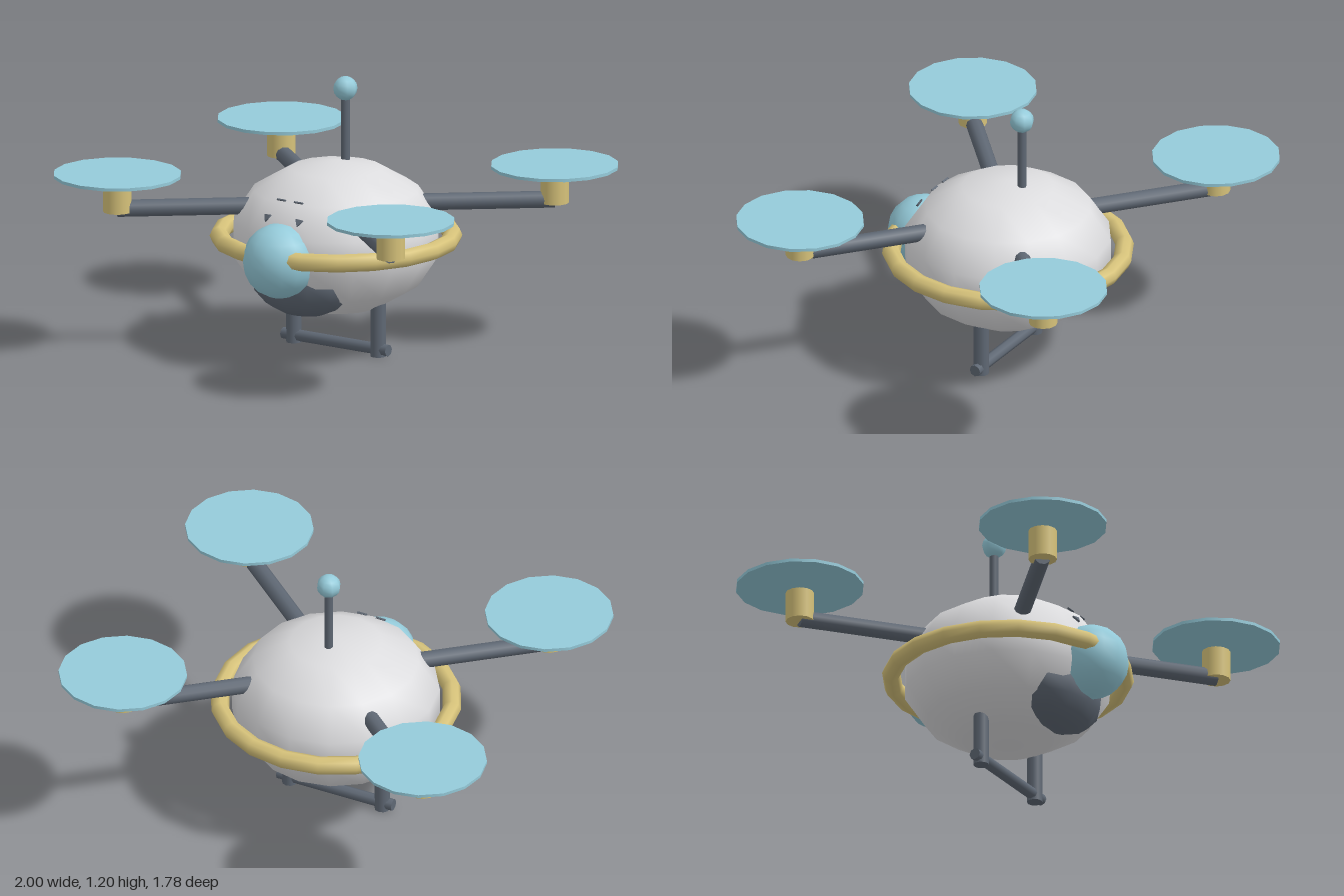
import * as THREE from 'three';

export function createModel() {
  const model = new THREE.Group();
  model.name = 'drone';
  const mat = (name, color) => Object.assign(new THREE.MeshStandardMaterial({ color }), { name });
  const shell = mat('shell grey', 0xdcdcde);
  const blue = mat('pale blue', 0x95cbda);
  const gold = mat('soft gold', 0xd6c27a);
  const dark = mat('slate', 0x5f6874);

  const add = (name, geometry, material, x = 0, y = 0, z = 0) => {
    const mesh = new THREE.Mesh(geometry, material);
    mesh.name = name;
    mesh.position.set(x, y, z);
    model.add(mesh);
    return mesh;
  };
  // round bar between two points
  const bar = (name, a, b, r, sides, material) => {
    const from = new THREE.Vector3(...a), to = new THREE.Vector3(...b);
    const dir = to.clone().sub(from);
    const mesh = add(name, new THREE.CylinderGeometry(r, r, dir.length(), sides), material);
    mesh.position.copy(from).add(to).multiplyScalar(0.5);
    mesh.quaternion.setFromUnitVectors(new THREE.Vector3(0, 1, 0), dir.normalize());
    return mesh;
  };

  // body and surrounding bumper ring
  add('body', new THREE.SphereGeometry(1, 16, 7), shell, 0, 0.505, 0).scale.set(0.46, 0.335, 0.46);
  add('bumperRing', new THREE.TorusGeometry(0.505, 0.04, 8, 20), gold, 0, 0.505, 0).rotation.x = Math.PI / 2;

  // front lens and the dark chin below it
  add('lens', new THREE.SphereGeometry(0.163, 14, 10), blue, 0, 0.477, 0.42);
  add('chin', new THREE.SphereGeometry(1, 12, 8), dark, 0, 0.36, 0.25).scale.set(0.25, 0.16, 0.165);

  // small marks above the lens
  for (const s of [-1, 1]) {
    const slit = add('browMark', new THREE.BoxGeometry(0.045, 0.006, 0.008), dark, s * 0.045, 0.725, 0.343);
    slit.rotation.x = -0.7;
    const spot = add('spotMark', new THREE.CylinderGeometry(0.022, 0.022, 0.008, 3), dark, s * 0.083, 0.655, 0.397);
    spot.rotation.set(0.95, 0, -s * 0.2);
  }

  // antenna
  bar('antennaRod', [0, 0.78, -0.07], [0, 1.12, -0.07], 0.02, 8, dark);
  add('antennaTip', new THREE.SphereGeometry(0.053, 8, 8), blue, 0, 1.144, -0.07);

  // four arms, each with a motor and a rotor disc
  for (const sx of [-1, 1]) for (const sz of [-1, 1]) {
    const x = sx * 0.722, z = sz * 0.612;
    bar('arm', [sx * 0.27, 0.645, sz * 0.23], [x, 0.645, z], 0.037, 10, dark);
    add('motor', new THREE.CylinderGeometry(0.062, 0.062, 0.134, 12), gold, x, 0.698, z);
    add('rotor', new THREE.CylinderGeometry(0.278, 0.278, 0.014, 16), blue, x, 0.795, z);
  }

  // landing gear
  for (const s of [-1, 1]) bar('leg', [s * 0.223, 0, 0], [s * 0.223, 0.3, 0], 0.034, 10, dark);
  bar('footBar', [-0.277, 0.032, 0], [0.277, 0.032, 0], 0.026, 8, dark);

  return model;
}
